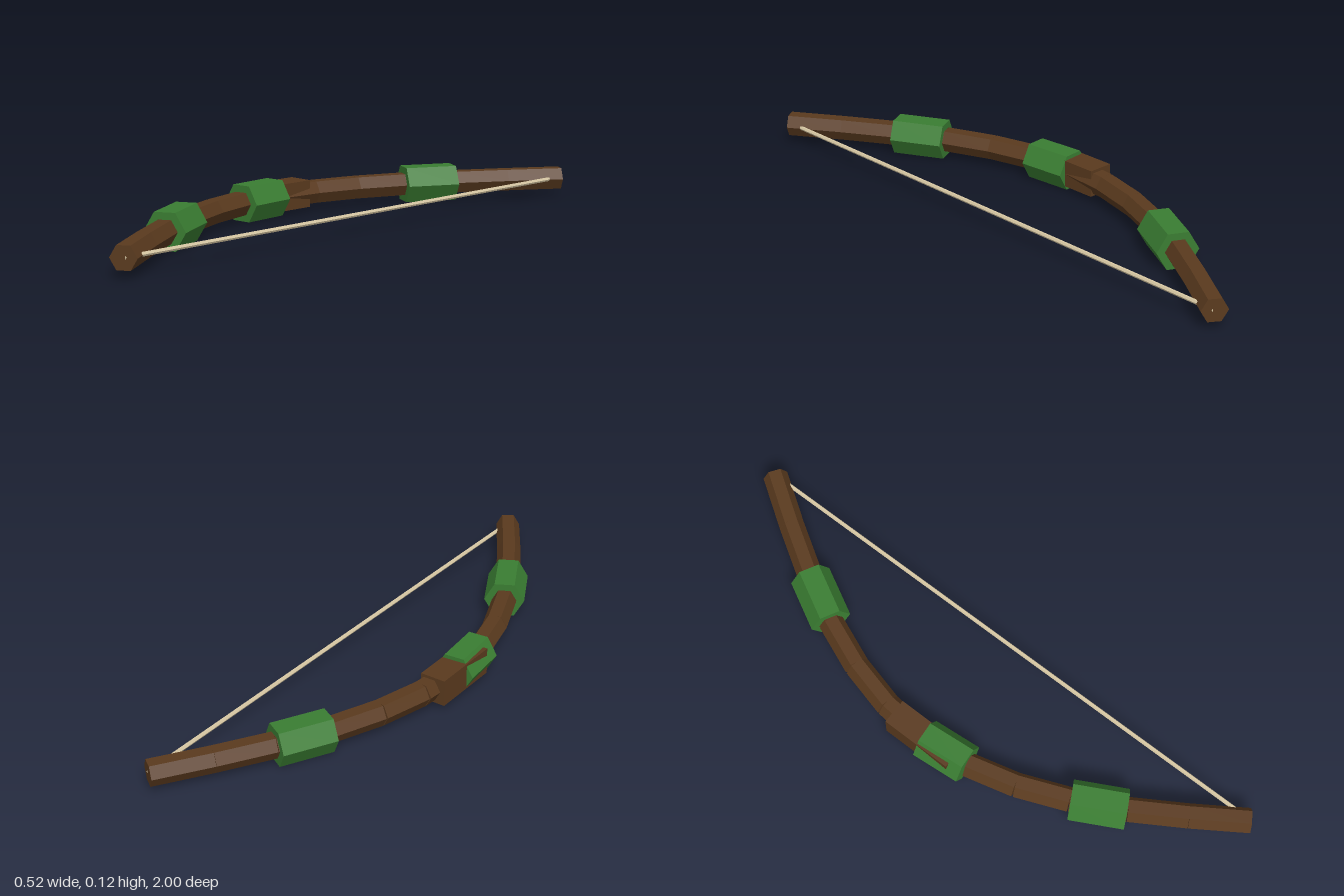
import * as THREE from 'three';

const Y = 0.059; // height of the bow's centre plane
const SEGMENTS = 12;
const HALF = 0.978; // half span along z

// Points on the bow's curve
function bowPoint(i) {
  const t = (i / SEGMENTS) * 2 - 1;
  return new THREE.Vector3(0.225 - 0.419 * Math.cos((t * Math.PI) / 2), Y, t * HALF);
}

// Hexagonal bar along z with flat top and bottom
function hexBar(radius, length) {
  return new THREE.CylinderGeometry(radius, radius, length, 6)
    .rotateY(Math.PI / 6)
    .rotateX(Math.PI / 2);
}

export function createModel() {
  const mat = (name, color) => {
    const m = new THREE.MeshStandardMaterial({ color, flatShading: true });
    m.name = name;
    return m;
  };
  const wood = mat('wood', 0x5a3a1e);
  const green = mat('greenWrap', 0x3a7d32);
  const cord = mat('cord', 0xd8c8a4);

  const bow = new THREE.Group();
  bow.name = 'bow';
  const add = (name, geometry, material, position, turn = 0) => {
    const mesh = new THREE.Mesh(geometry, material);
    mesh.name = name;
    mesh.position.copy(position);
    mesh.rotation.y = turn;
    bow.add(mesh);
  };

  // Limb segments, three of them wrapped in green
  const wrapped = [2, 6, 9];
  for (let i = 0; i < SEGMENTS; i++) {
    const a = bowPoint(i);
    const b = bowPoint(i + 1);
    const length = a.distanceTo(b);
    const middle = a.clone().lerp(b, 0.5);
    const turn = Math.atan2(b.x - a.x, b.z - a.z);
    add('limbSegment' + i, hexBar(0.0416, length), wood, middle, turn);
    if (wrapped.includes(i)) {
      add('wrap' + i, hexBar(0.068, Math.min(length, 0.18)), green, middle, turn);
    }
  }

  // Square grip block at the middle
  add('grip', new THREE.BoxGeometry(0.088, 0.09, 0.245), wood, new THREE.Vector3(-0.196, Y + 0.001, 0));

  // Bowstring between the tips
  add('bowstring', hexBar(0.007, 1.95), cord, new THREE.Vector3(0.226, Y + 0.001, 0));

  return bow;
}
